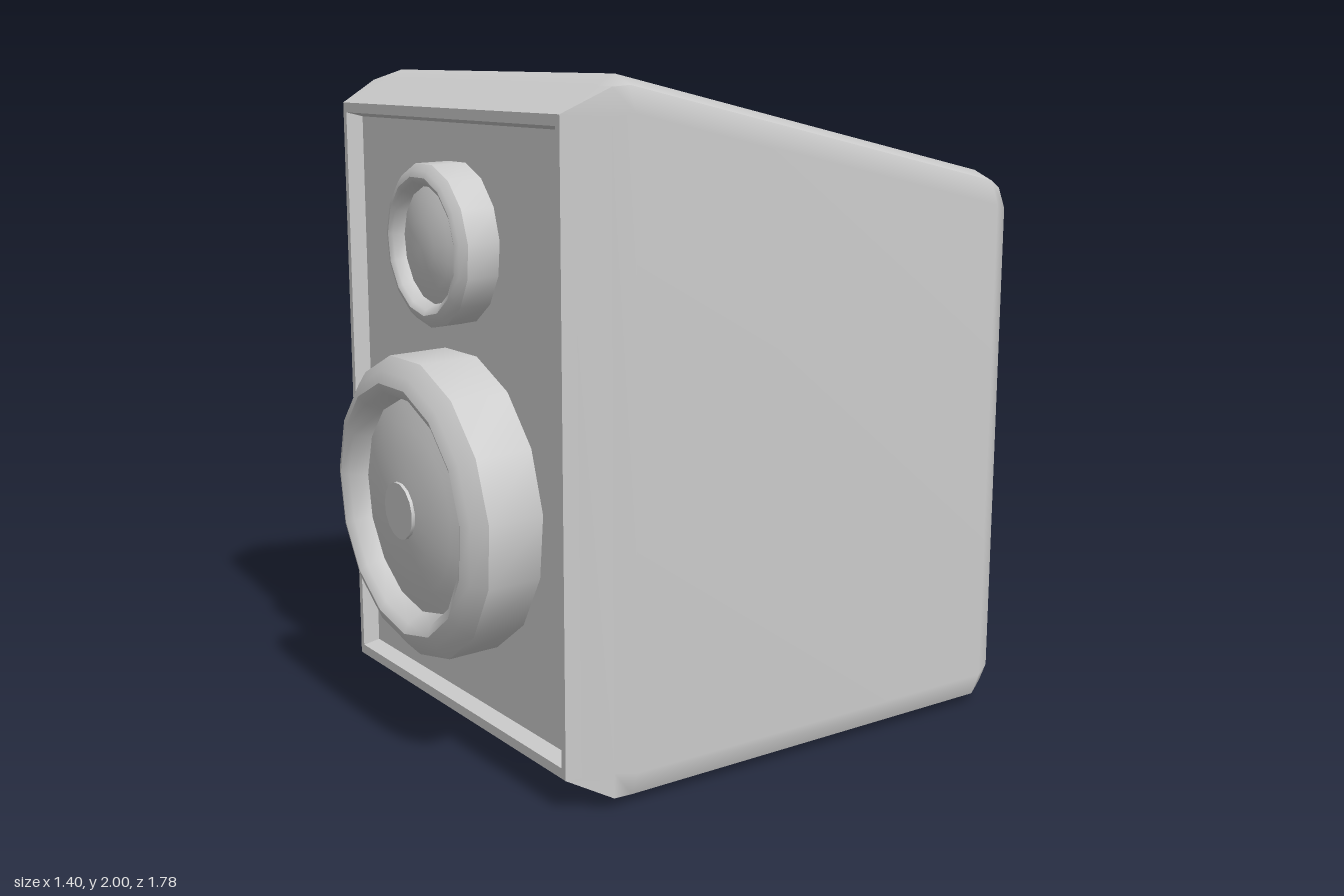
import * as THREE from 'three';

const material = new THREE.MeshStandardMaterial({ color: 0xcccccc });

// Area-weighted smooth normals that stay sharp above the crease angle
function creasedNormals(source, crease = 0.78) {
  const geo = source.index ? source.toNonIndexed() : source;
  const pos = geo.attributes.position;
  const point = (i) => new THREE.Vector3().fromBufferAttribute(pos, i);
  const key = (i) => point(i).toArray().map((v) => Math.round(v * 1e4)).join();
  const faces = [];
  const shared = {};
  for (let i = 0; i < pos.count; i += 3) {
    const a = point(i);
    const area = point(i + 1).sub(a).cross(point(i + 2).sub(a));
    faces.push(area);
    for (let k = i; k < i + 3; k++) (shared[key(k)] ??= []).push(area);
  }
  const normals = new Float32Array(pos.count * 3);
  for (let i = 0; i < pos.count; i++) {
    const own = faces[Math.floor(i / 3)];
    const sum = new THREE.Vector3();
    for (const other of shared[key(i)]) {
      if (other.lengthSq() > 1e-14 && own.angleTo(other) < crease) sum.add(other);
    }
    sum.normalize().toArray(normals, i * 3);
  }
  geo.setAttribute('normal', new THREE.BufferAttribute(normals, 3));
  return geo;
}

// Rectangle with corners cut by `cut`; `mid` insets the middle point of each corner
function ring(z, hx, y0, y1, cut = 0, mid = 0) {
  const cy = (y0 + y1) / 2, hy = (y1 - y0) / 2;
  const corner = [[hx, hy - cut], [hx - mid, hy - mid], [hx - cut, hy]];
  const points = [];
  for (const [sx, sy] of [[1, 1], [-1, 1], [-1, -1], [1, -1]]) {
    const ordered = sx * sy > 0 ? corner : [...corner].reverse();
    for (const [x, y] of ordered) points.push(new THREE.Vector3(sx * x, cy + sy * y, z));
  }
  return points;
}

// Skin over successive rings, leaving out collapsed triangles
function loft(rings) {
  const out = [];
  const triangle = (a, b, c) => {
    const area = b.clone().sub(a).cross(c.clone().sub(a)).length();
    if (area > 1e-7) out.push(...a.toArray(), ...b.toArray(), ...c.toArray());
  };
  for (let r = 0; r < rings.length - 1; r++) {
    const A = rings[r], B = rings[r + 1];
    for (let i = 0; i < A.length; i++) {
      const j = (i + 1) % A.length;
      triangle(A[i], B[i], A[j]);
      triangle(A[j], B[i], B[j]);
    }
  }
  const geo = new THREE.BufferGeometry();
  geo.setAttribute('position', new THREE.Float32BufferAttribute(out, 3));
  return creasedNormals(geo);
}

function mesh(name, geometry) {
  const m = new THREE.Mesh(geometry, material);
  m.name = name;
  return m;
}

// Turned part facing +z, profile given as [radius, depth] from back to front
function turned(name, profile) {
  const geo = new THREE.LatheGeometry(profile.map(([r, z]) => new THREE.Vector2(r, z)), 15);
  geo.rotateX(Math.PI / 2);
  return mesh(name, creasedNormals(geo));
}

// Driver tilted slightly so that its top leans forward
function driver(name, y, surround, dome) {
  const group = new THREE.Group();
  group.name = name;
  group.add(turned(name + 'Surround', surround), turned(name + 'Dome', dome));
  group.position.set(0, y, 0.66);
  group.rotation.x = 0.027;
  return group;
}

export function createModel() {
  const model = new THREE.Group();
  model.name = 'loudspeaker';

  // Bevelled cabinet with a top sloping down to the back
  model.add(mesh('cabinet', loft([
    ring(0.71, 0.61, 0.13, 1.87),
    ring(0.71, 0.63, 0.1, 1.9),
    ring(0.58, 0.675, 0.032, 1.968, 0.075),
    ring(0.52, 0.7, 0, 2, 0.1, 0.028),
    ring(-0.81, 0.7, 0, 1.7, 0.1, 0.028),
    ring(-0.87, 0.672, 0.03, 1.67, 0.085, 0.025),
    ring(-0.89, 0.625, 0.08, 1.615, 0.05, 0.015),
    ring(-0.89, 0, 0.85, 0.85),
  ])));

  // Recessed front panel with slightly tapered walls
  model.add(mesh('frontPanel', loft([
    ring(0.66, 0, 1, 1),
    ring(0.66, 0.6, 0.143, 1.857),
    ring(0.71, 0.61, 0.13, 1.87),
  ])));

  // Large and small drivers
  model.add(driver('woofer', 0.755,
    [[0.45, -0.02], [0.45, 0.17], [0.41, 0.207], [0.375, 0.22], [0.345, 0.205], [0.32, 0.155]],
    [[0.32, 0.155], [0.25, 0.18], [0.17, 0.198], [0.085, 0.207], [0.085, 0.217], [0, 0.217]]));
  model.add(driver('tweeter', 1.515,
    [[0.237, -0.02], [0.237, 0.1], [0.218, 0.118], [0.2, 0.124], [0.184, 0.116], [0.17, 0.085]],
    [[0.17, 0.085], [0.13, 0.103], [0.07, 0.118], [0, 0.122]]));

  return model;
}
